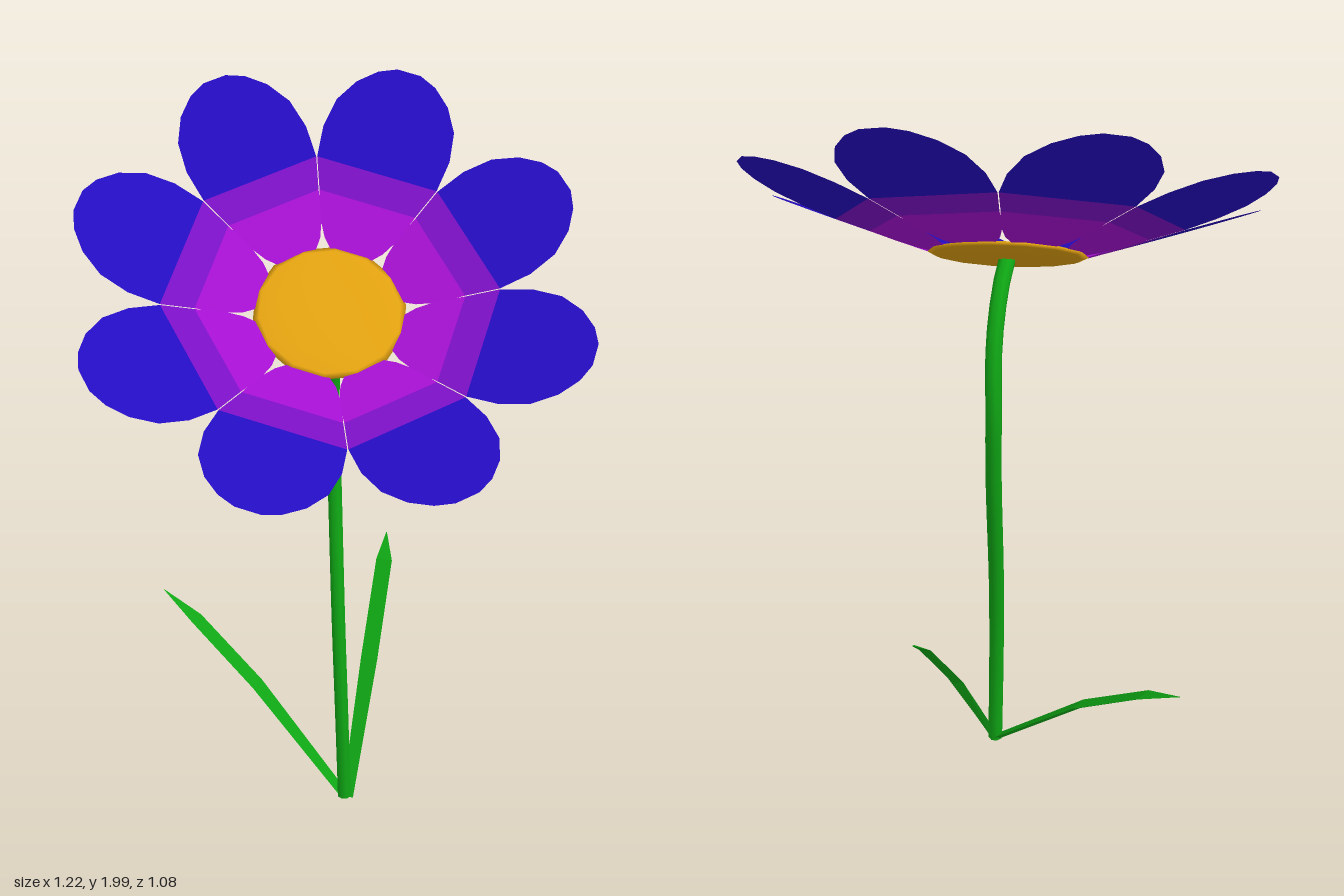
import * as THREE from 'three';

const mat = (name, color) => {
  const m = new THREE.MeshStandardMaterial({ color, side: THREE.DoubleSide });
  m.name = name;
  return m;
};

// Joins equal-length cross-sections (arrays of Vector3) into one surface.
function loft(sections, closed = false) {
  const n = sections[0].length, index = [];
  const pos = sections.flat().flatMap(p => [p.x, p.y, p.z]);
  for (let i = 0; i < sections.length - 1; i++) {
    for (let j = 0; j < (closed ? n : n - 1); j++) {
      const a = i * n + j, b = i * n + (j + 1) % n;
      index.push(a, b, a + n, b, b + n, a + n);
    }
  }
  const g = new THREE.BufferGeometry();
  g.setAttribute('position', new THREE.Float32BufferAttribute(pos, 3));
  g.setIndex(index);
  const flat = g.toNonIndexed();
  flat.computeVertexNormals();
  return flat;
}

function add(parent, name, geometry, material) {
  const m = new THREE.Mesh(geometry, material);
  m.name = name;
  parent.add(m);
  return m;
}

// Strip of a petal: rows of [radius, half width], rising as a shallow cone.
function petalStrip(rows) {
  return loft(rows.map(([r, w]) =>
    [-1, 0, 1].map(s => new THREE.Vector3(r, (r - 0.17) * 0.34, -s * w))));
}

// Thin keeled leaf along a bent path.
function leafGeometry(path, side) {
  const widths = [0.016, 0.024, 0.023, 0.001], depths = [0.012, 0.012, 0.008, 0.001];
  const pts = path.map(p => new THREE.Vector3(...p));
  const across = new THREE.Vector3(...side).normalize();
  return loft(pts.map((p, i) => {
    const along = pts[Math.min(i + 1, 3)].clone().sub(pts[Math.max(i - 1, 0)]).normalize();
    const down = along.cross(across).normalize();
    if (down.y > 0) down.negate();
    return [
      p.clone().addScaledVector(across, -widths[i]),
      p.clone().addScaledVector(down, depths[i]),
      p.clone().addScaledVector(across, widths[i]),
    ];
  }), true);
}

export function createModel() {
  const model = new THREE.Group();
  model.name = 'flower';
  const blue = mat('petal blue', 0x240cc0);
  const purple = mat('petal purple', 0x7a10c4);
  const magenta = mat('petal magenta', 0xa410d0);
  const yellow = mat('centre yellow', 0xe0a010);
  const green = mat('stem green', 0x0fa514);

  // Stem
  const stemPath = new THREE.CatmullRomCurve3([
    [0, 0.01, -0.09], [-0.015, 0.3, -0.105], [-0.04, 0.6, -0.142], [-0.08, 1.0, -0.215],
    [-0.093, 1.2, -0.233], [-0.078, 1.36, -0.205], [-0.058, 1.47, -0.145], [-0.042, 1.515, -0.09],
  ].map(p => new THREE.Vector3(...p)));
  add(model, 'stem', new THREE.TubeGeometry(stemPath, 28, 0.02, 8), green);

  // Leaves
  add(model, 'rightLeaf', leafGeometry(
    [[0, 0.01, -0.09], [-0.287, 0.3, -0.135], [-0.49, 0.455, -0.17], [-0.6, 0.515, -0.19]],
    [-0.16, 0, 1]), green);
  add(model, 'backLeaf', leafGeometry(
    [[0.012, 0.01, -0.085], [0, 0.365, -0.285], [-0.018, 0.6, -0.45], [-0.033, 0.655, -0.51]],
    [1, 0, -0.1]), green);

  // Flower head, tilted towards the front and left
  const head = new THREE.Group();
  head.name = 'flowerHead';
  const up = new THREE.Vector3(0.263, 0.824, 0.503).normalize();
  const xAxis = new THREE.Vector3(0.964, -0.215, -0.151);
  xAxis.addScaledVector(up, -xAxis.dot(up)).normalize();
  const zAxis = new THREE.Vector3().crossVectors(xAxis, up);
  head.quaternion.setFromRotationMatrix(new THREE.Matrix4().makeBasis(xAxis, up, zAxis));
  head.position.set(-0.04, 1.525, -0.083);
  model.add(head);

  // Flattened centre
  const disc = new THREE.SphereGeometry(0.187, 14, 8);
  disc.scale(1, 0.07, 1);
  add(head, 'centre', disc, yellow);

  // Eight petals, each in three colour bands
  const inner = petalStrip([[0.165, 0.045], [0.195, 0.075], [0.24, 0.102], [0.3, 0.123]]);
  const band = petalStrip([[0.3, 0.123], [0.375, 0.154]]);
  const outer = petalStrip([[0.375, 0.154], [0.45, 0.163], [0.52, 0.152],
    [0.575, 0.118], [0.612, 0.074], [0.63, 0.03]]);
  for (let i = 0; i < 8; i++) {
    const petal = new THREE.Group();
    petal.name = 'petal' + (i + 1);
    petal.rotation.y = i * Math.PI / 4;
    add(petal, 'petalBase', inner, magenta);
    add(petal, 'petalBand', band, purple);
    add(petal, 'petalTip', outer, blue);
    head.add(petal);
  }
  return model;
}
